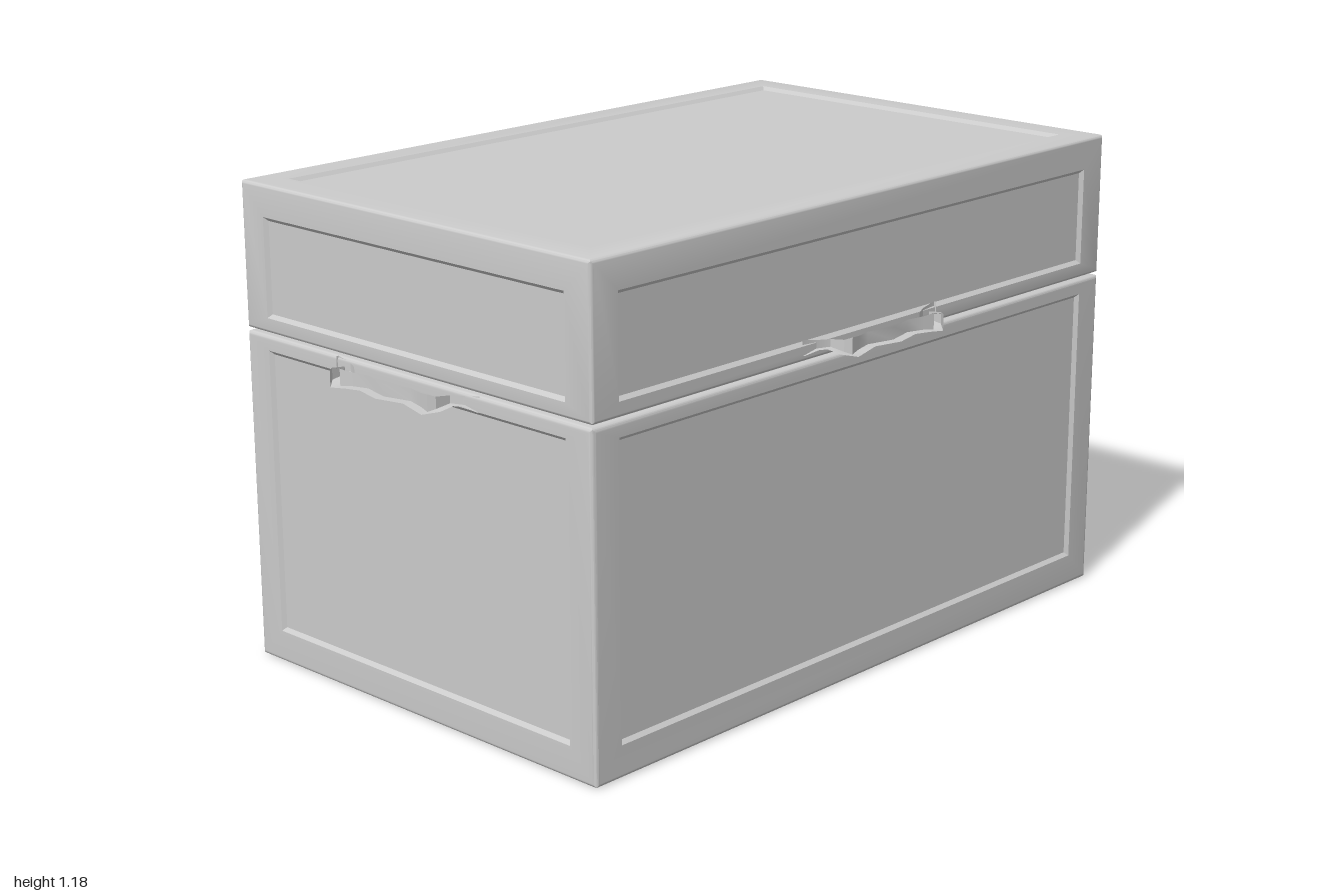
import * as THREE from 'three';
import { toCreasedNormals, mergeVertices } from 'three/addons/utils/BufferGeometryUtils.js';

const material = new THREE.MeshStandardMaterial({ color: 0xcccccc });
const W = 0.905, D = 0.577, ZC = -0.036; // half width, half depth, body centre in z
const SEAM_LOW = 0.819, SEAM_HIGH = 0.824, TOP = 1.18;

// Skin consecutive loops of equal length, optionally capping both ends.
function skin(loops, closeStart, closeEnd) {
  const n = loops[0].length, pos = [], idx = [];
  for (const loop of loops) for (const p of loop) pos.push(p.x, p.y, p.z);
  for (let i = 0; i < loops.length - 1; i++) {
    for (let j = 0; j < n; j++) {
      const a = i * n + j, b = i * n + (j + 1) % n;
      idx.push(a, b, b + n, a, b + n, a + n);
    }
  }
  const e = (loops.length - 1) * n;
  for (let j = 1; j < n - 1; j++) {
    if (closeStart) idx.push(0, j + 1, j);
    if (closeEnd) idx.push(e, e + j, e + j + 1);
  }
  const g = new THREE.BufferGeometry();
  g.setAttribute('position', new THREE.Float32BufferAttribute(pos, 3));
  g.setIndex(idx);
  return toCreasedNormals(mergeVertices(g), 0.5);
}

function part(name, geometry) {
  const mesh = new THREE.Mesh(geometry, material);
  mesh.name = name;
  return mesh;
}

// Box with rounded edges; faces are framed around a slightly sunken panel.
function panelledBox(name, y0, y1, lowMargin, highMargin, plainFace) {
  const group = new THREE.Group();
  group.name = name;
  const h = (y1 - y0) / 2, r = 0.012, m = 0.08, bevel = 0.009, sink = 0.009;
  const V = (x, y, z) => new THREE.Vector3(x, y, z);
  const faces = [
    ['frontFace', V(1, 0, 0), V(0, 1, 0), W, h, D],
    ['backFace', V(-1, 0, 0), V(0, 1, 0), W, h, D],
    ['leftFace', V(0, 0, -1), V(0, 1, 0), D, h, W],
    ['rightFace', V(0, 0, 1), V(0, 1, 0), D, h, W],
    ['topFace', V(1, 0, 0), V(0, 0, -1), W, D, h],
    ['bottomFace', V(1, 0, 0), V(0, 0, 1), W, D, h],
  ];
  for (const [face, u, v, a, b, c] of faces) {
    const n = u.clone().cross(v);
    const upright = v.y === 1;
    const lo = upright ? lowMargin : m, hi = upright ? highMargin : m;
    const ring = (side, low, high, depth) =>
      [[-a + side, -b + low], [a - side, -b + low], [a - side, b - high], [-a + side, b - high]]
        .map(([s, t]) => V(0, 0, 0).addScaledVector(u, s).addScaledVector(v, t).addScaledVector(n, c - depth));
    const loops = [];
    // Half of the edge rounding belongs to each face
    for (let k = 3; k >= 0; k--) {
      const t = k * Math.PI / 12, inset = r * (1 - Math.sin(t));
      loops.push(ring(inset, inset, inset, r * (1 - Math.cos(t))));
    }
    if (face !== plainFace) {
      loops.push(ring(m, lo, hi, 0), ring(m + bevel, lo + bevel, hi + bevel, sink));
    }
    group.add(part(face, skin(loops, false, true)));
  }
  group.position.set(0, (y0 + y1) / 2, ZC);
  return group;
}

// Wavy pull handle: runs along x, stands out along +z.
function handle(name, x, y, z, turn) {
  // along, out, height, thickness
  const half = [
    [-0.237, 0.000, 0.036, 0.006],
    [-0.195, 0.006, 0.020, 0.014],
    [-0.172, 0.020, 0.018, 0.024],
    [-0.170, 0.058, 0.028, 0.024],
    [-0.150, 0.080, 0.040, 0.024],
    [-0.115, 0.073, 0.032, 0.024],
    [-0.072, 0.062, 0.030, 0.024],
  ];
  const stations = [...half, [0, 0.079, 0.030, 0.024],
    ...half.slice().reverse().map(([a, ...rest]) => [-a, ...rest])];
  const loops = stations.map(([s, o, height, thick], i) => {
    const p = stations[Math.max(i - 1, 0)], q = stations[Math.min(i + 1, stations.length - 1)];
    const len = Math.hypot(q[0] - p[0], q[1] - p[1]);
    const nx = -(q[1] - p[1]) / len, nz = (q[0] - p[0]) / len;
    return [[-1, -1], [-1, 1], [1, 1], [1, -1]].map(([k, l]) =>
      new THREE.Vector3(s + nx * k * thick / 2, l * height / 2, o + nz * k * thick / 2)).reverse();
  });
  const mesh = part(name, skin(loops, true, true));
  mesh.position.set(x, y, z);
  mesh.rotation.y = turn;
  return mesh;
}

// Long leaf hinge: flat plate with a faceted knuckle.
function hinge(name, x) {
  const group = new THREE.Group();
  group.name = name;
  const length = 0.45;
  const plate = part('hingePlate', new THREE.BoxGeometry(length, 0.084, 0.016));
  const knuckle = part('hingeKnuckle', toCreasedNormals(new THREE.CylinderGeometry(0.018, 0.018, length, 8), 0.5));
  knuckle.rotation.set(0, 0, Math.PI / 2);
  knuckle.position.z = -0.005;
  group.add(plate, knuckle);
  group.position.set(x, 0.817, ZC - D + 0.001);
  return group;
}

export function createModel() {
  const model = new THREE.Group();
  model.name = 'chest';
  model.add(panelledBox('base', 0, SEAM_LOW, 0.08, 0.037, 'topFace'));
  model.add(panelledBox('lid', SEAM_HIGH, TOP, 0.037, 0.078, 'bottomFace'));

  // Core closing the seam between base and lid
  const core = part('seamCore', new THREE.BoxGeometry(2 * W - 0.04, 0.03, 2 * D - 0.04));
  core.position.set(0, (SEAM_LOW + SEAM_HIGH) / 2, ZC);
  model.add(core);

  model.add(handle('frontHandle', 0, 0.857, ZC + D, 0));
  model.add(handle('leftHandle', W, 0.8, -0.045, Math.PI / 2));
  model.add(handle('rightHandle', -W, 0.8, -0.045, -Math.PI / 2));
  for (const side of [-1, 1]) {
    model.add(hinge(side > 0 ? 'leftHinge' : 'rightHinge', side * 0.455));
  }
  return model;
}
